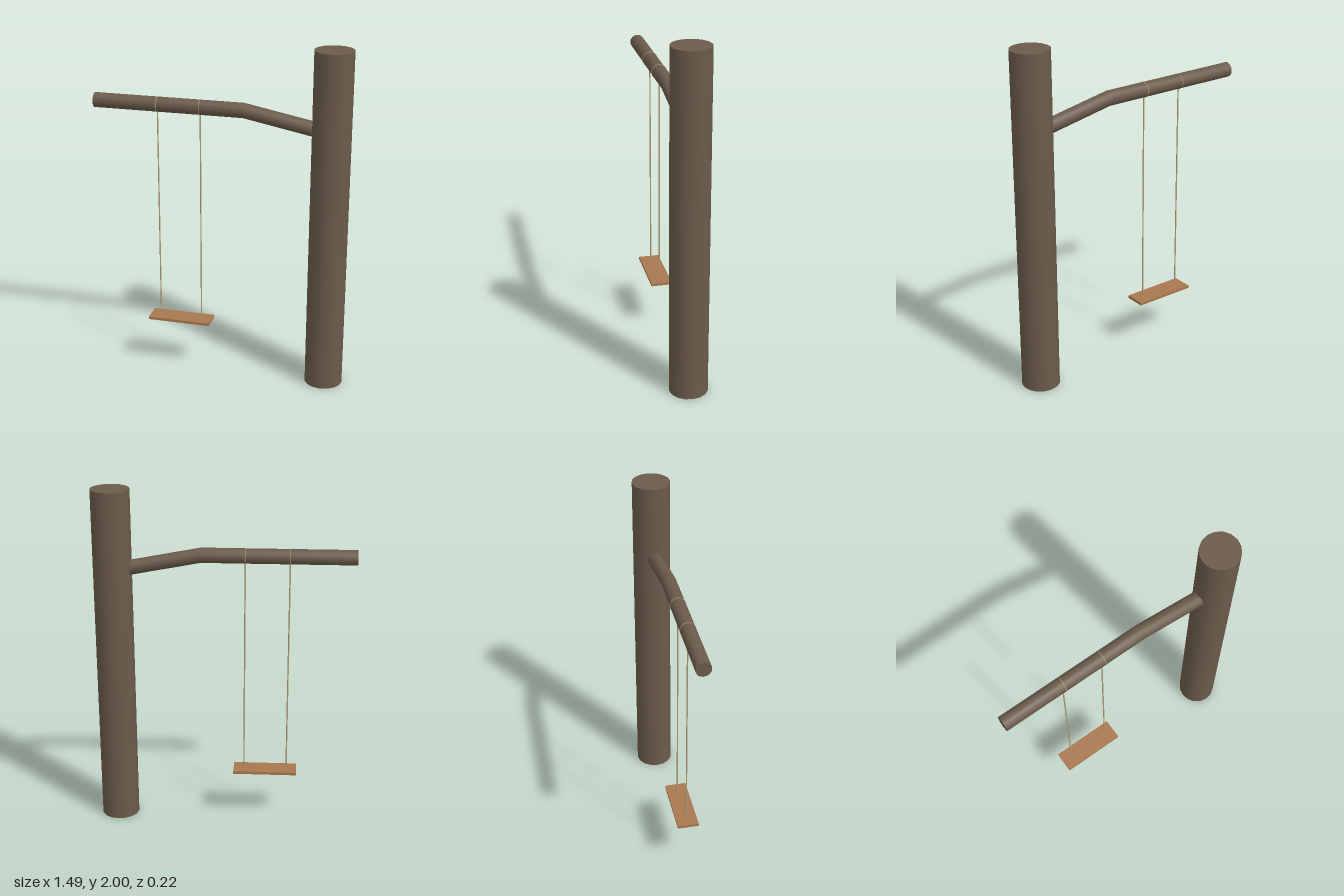
import * as THREE from 'three';
import { toCreasedNormals } from 'three/addons/utils/BufferGeometryUtils.js';

const bark = new THREE.MeshStandardMaterial({ color: 0x6b5b4b });
bark.name = 'bark';
const wood = new THREE.MeshStandardMaterial({ color: 0xa9784f });
wood.name = 'seat wood';
const hemp = new THREE.MeshStandardMaterial({ color: 0xb5a27c });
hemp.name = 'rope';

const TRUNK_X = 0.63, BRANCH_Y = 1.628, BRANCH_R = 0.043;
const SEAT_TOP = 0.312, SEAT_X = -0.245;

function createBranch() {
  // Straight log along x with three rings: tip, bend, and the end buried in the trunk
  const tip = -0.745, bend = 0.13, root = TRUNK_X, slope = -0.193;
  const geo = new THREE.CylinderGeometry(BRANCH_R, BRANCH_R, 2, 16, 2);
  geo.rotateZ(-Math.PI / 2);
  const pos = geo.attributes.position;
  for (let i = 0; i < pos.count; i++) {
    const t = pos.getX(i);
    const x = t < -0.5 ? tip : t < 0.5 ? bend : root;
    const drop = Math.max(0, x - bend) * slope;
    pos.setXYZ(i, x, pos.getY(i) + BRANCH_Y + drop, pos.getZ(i));
  }
  return toCreasedNormals(geo, 0.6);
}

export function createModel() {
  const model = new THREE.Group();
  model.name = 'treeSwing';

  const add = (name, geo, material, x = 0, y = 0, z = 0) => {
    const mesh = new THREE.Mesh(geo, material);
    mesh.name = name;
    mesh.position.set(x, y, z);
    model.add(mesh);
    return mesh;
  };

  // Tree
  add('trunk', new THREE.CylinderGeometry(0.111, 0.111, 2, 16), bark, TRUNK_X, 1, 0);
  add('branch', createBranch(), bark);

  // Ropes, each looped round the branch
  const ropeTop = BRANCH_Y - BRANCH_R + 0.003;
  const ropeLength = ropeTop - SEAT_TOP;
  for (const [side, x] of [['right', SEAT_X - 0.126], ['left', SEAT_X + 0.126]]) {
    add(side + 'Rope', new THREE.CylinderGeometry(0.004, 0.004, ropeLength, 8), hemp,
      x, SEAT_TOP + ropeLength / 2, 0);
    add(side + 'RopeLoop', new THREE.TorusGeometry(BRANCH_R, 0.002, 6, 32), hemp,
      x, BRANCH_Y, 0).rotation.y = Math.PI / 2;
  }

  // Seat plank
  add('seat', new THREE.BoxGeometry(0.374, 0.016, 0.124), wood, SEAT_X, SEAT_TOP - 0.008, 0);

  return model;
}
